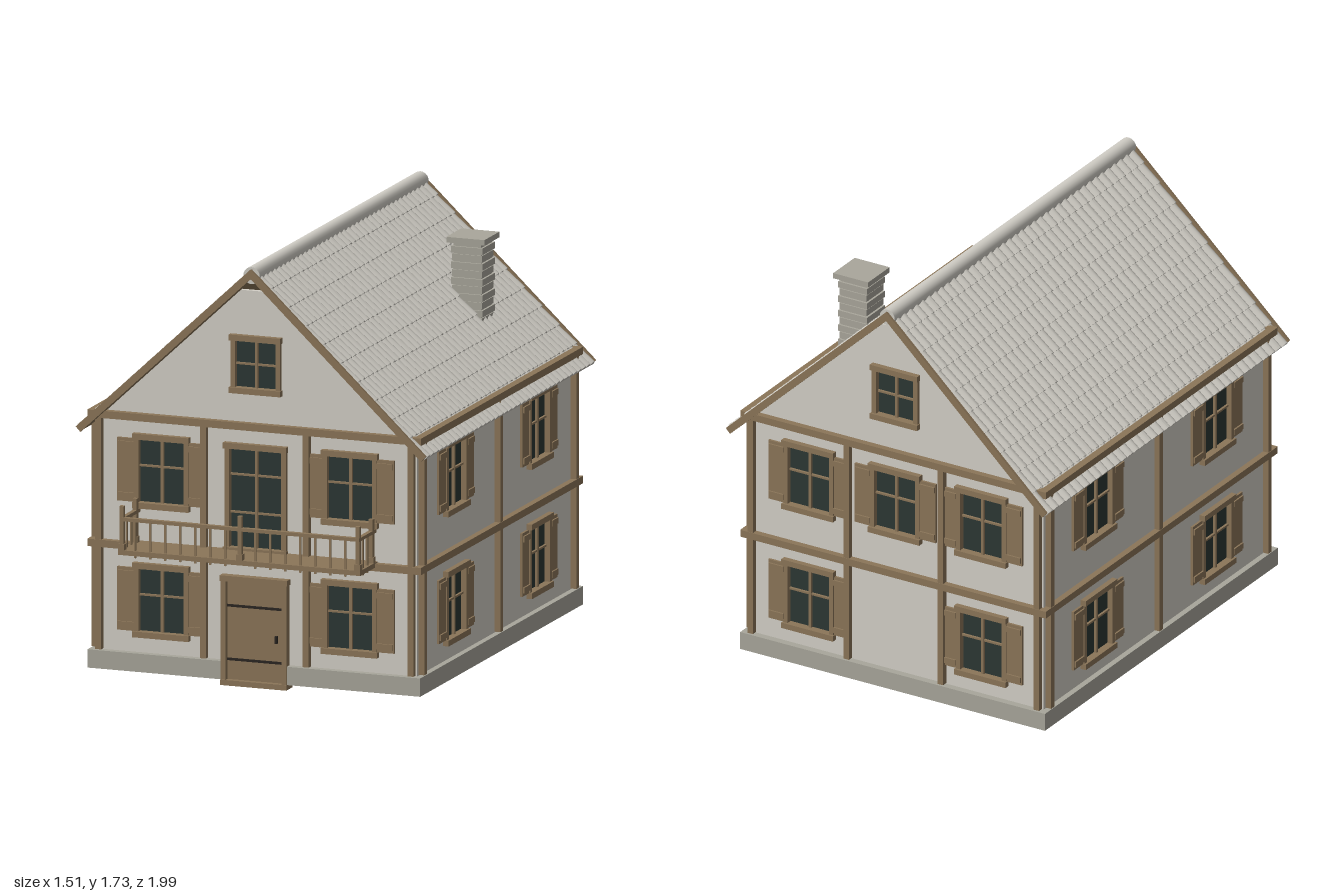
import * as THREE from 'three';
import { toCreasedNormals } from 'three/addons/utils/BufferGeometryUtils.js';

const mat = (name, color, side = THREE.FrontSide) => {
  const m = new THREE.MeshStandardMaterial({ color, side });
  m.name = name;
  return m;
};
const plaster = mat('plaster', 0xd4d0c7);
const wood = mat('timber', 0x8c7659);
const glass = mat('dark glass', 0x2c3734);
const stone = mat('plinth stone', 0xa9a79c);
const brick = mat('chimney stone', 0xaaa79c);
const tile = mat('roof tile', 0xcfccc4);
const iron = mat('iron', 0x2b2622);

const CZ = -0.06;          // middle of the house in z
const HX = 0.69, HZ = 0.86; // half sizes of the walls

function add(parent, name, geometry, material) {
  const m = new THREE.Mesh(geometry, material);
  m.name = name;
  parent.add(m);
  return m;
}

// Box given by its limits on each axis
function box(parent, name, material, x0, x1, y0, y1, z0, z1) {
  const m = add(parent, name, new THREE.BoxGeometry(x1 - x0, y1 - y0, z1 - z0), material);
  m.position.set((x0 + x1) / 2, (y0 + y1) / 2, (z0 + z1) / 2);
  return m;
}

function group(parent, name) {
  const g = new THREE.Group();
  g.name = name;
  parent.add(g);
  return g;
}

const polygon = (pts) => new THREE.Shape(pts.map(([x, y]) => new THREE.Vector2(x, y)));

// Wall plate with window holes; its outer face lies on local z = 0
function wall(parent, outline, openings) {
  const shape = polygon(outline);
  for (const { x, y, w, h } of openings) {
    shape.holes.push(new THREE.Path([[-1, -1], [-1, 1], [1, 1], [1, -1]].map(
      ([a, b]) => new THREE.Vector2(x + a * w, y + b * h))));
  }
  const geo = new THREE.ExtrudeGeometry(shape, { depth: 0.02, bevelEnabled: false });
  add(parent, 'wall', geo.translate(0, 0, -0.02), plaster);
  openings.forEach((o) => windowUnit(parent, o));
}

// Framed window (w and h are half sizes), optionally with shutters
function windowUnit(parent, { x, y, w, h, shutters, bars = [0.02] }) {
  const g = group(parent, 'window');
  g.position.set(x, y, 0);
  box(g, 'pane', glass, -w, w, -h, h, -0.019, -0.009);
  box(g, 'verticalBar', wood, -0.006, 0.006, -h, h, -0.012, 0.003);
  bars.forEach((b) => box(g, 'crossBar', wood, -w, w, b - 0.004, b + 0.004, -0.012, 0.001));
  for (const s of [-1, 1]) {
    const at = s * (w + 0.007);
    box(g, 'frameSide', wood, at - 0.01, at + 0.01, -h, h, -0.015, 0.015);
    const yy = s * (h + 0.011);
    box(g, s > 0 ? 'lintel' : 'sill', wood, -w - 0.021, w + 0.021, yy - 0.012, yy + 0.012, -0.015, 0.024);
    if (!shutters) continue;
    const c = s * 0.152;
    box(g, 'shutter', wood, c - 0.038, c + 0.038, -0.13, 0.13, 0, 0.01);
    for (const b of [-0.105, 0.105]) {
      box(g, 'shutterBatten', wood, c - 0.034, c + 0.034, b - 0.012, b + 0.012, 0.01, 0.017);
    }
  }
}

// Posts and beams on a wall of half width w
function timbers(parent, w, posts) {
  const g = group(parent, 'timberFrame');
  for (const x of posts) box(g, 'post', wood, x - 0.013, x + 0.013, 0.1, 1.06, 0, 0.025);
  for (const y of [0.535, 1.065]) box(g, 'beam', wood, -w - 0.025, w + 0.025, y - 0.015, y + 0.015, -0.005, 0.027);
}

const LOW = 0.314, HIGH = 0.844;
const shuttered = (x, y) => ({ x, y, w: 0.1, h: 0.13, shutters: true });
const gableWindow = { x: 0, y: 1.318, w: 0.09, h: 0.097, bars: [0] };
const gableOutline = [[-HX, 0.05], [HX, 0.05], [HX, 1.035], [0.07, 1.62], [-0.07, 1.62], [-HX, 1.035]];
const sideOutline = [[-HZ, 0.05], [HZ, 0.05], [HZ, 1.04], [-HZ, 1.04]];

function frontDoor(parent) {
  const g = group(parent, 'frontDoor');
  box(g, 'doorLeaf', wood, -0.122, 0.122, 0.02, 0.43, -0.024, 0.012);
  for (const s of [-1, 1]) box(g, 'doorPost', wood, s * 0.131 - 0.011, s * 0.131 + 0.011, 0.02, 0.43, 0, 0.032);
  box(g, 'doorLintel', wood, -0.145, 0.145, 0.427, 0.45, 0, 0.036);
  for (const y of [0.105, 0.325]) box(g, 'strap', iron, -0.12, 0.12, y - 0.005, y + 0.005, 0.012, 0.017);
  box(g, 'handle', iron, 0.086, 0.096, 0.185, 0.215, 0.012, 0.024);
  box(g, 'doorStep', wood, -0.142, 0.142, 0, 0.022, -0.03, 0.036);
}

// Plinth ring, open at the doorway and underneath
function plinth(parent) {
  const X = 0.715, Z = 0.89, x = 0.67, z = 0.84, d = 0.142;
  const shape = polygon([[d, -Z], [X, -Z], [X, Z], [-X, Z], [-X, -Z], [-d, -Z],
    [-d, -z], [-x, -z], [-x, z], [x, z], [x, -z], [d, -z]]);
  const geo = new THREE.ExtrudeGeometry(shape, { depth: 0.075, bevelEnabled: false });
  add(parent, 'plinth', geo.rotateX(-Math.PI / 2).translate(0, 0.022, CZ), stone);
}

function balcony(parent) {
  const g = group(parent, 'balcony');
  box(g, 'balconyFloor', wood, -0.52, 0.52, 0.535, 0.555, 0.8, 0.99);
  box(g, 'frontRail', wood, -0.515, 0.515, 0.674, 0.688, 0.968, 0.988);
  const post = (x, z) => {
    box(g, 'balconyPost', wood, x - 0.009, x + 0.009, 0.55, 0.735, z - 0.009, z + 0.009);
    box(g, 'postFoot', wood, x - 0.013, x + 0.013, 0.555, 0.58, z - 0.012, z + 0.012);
  };
  const baluster = (x, z) => box(g, 'baluster', wood, x - 0.004, x + 0.004, 0.525, 0.676, z - 0.004, z + 0.004);
  for (const x of [-0.507, 0, 0.507]) post(x, 0.978);
  for (let i = -7; i <= 7; i++) if (i) baluster(i * 0.0645, 0.978);
  for (const s of [-1, 1]) {
    const x = s * 0.507;
    post(x, 0.834);
    box(g, 'sideRail', wood, x - 0.009, x + 0.009, 0.674, 0.688, 0.8, 0.98);
    for (const z of [0.882, 0.93]) baluster(x, z);
  }
}

// One course of arched tiles: a scalloped section drawn out down the slope
function tileCourse(half, columns, length) {
  const pitch = (2 * half) / columns, steps = 6;
  const pts = [[-half, -0.008], [half, -0.008]];
  for (let i = columns * steps; i >= 0; i--) {
    pts.push([-half + (i * pitch) / steps, 0.014 * Math.sin(Math.PI * (i % steps) / steps)]);
  }
  const geo = new THREE.ExtrudeGeometry(polygon(pts), { depth: length, bevelEnabled: false });
  return toCreasedNormals(geo.rotateY(Math.PI / 2), 0.6);
}

function roof(parent) {
  const g = group(parent, 'roof');
  g.position.set(0, 1.72, -0.0675);
  const slope = Math.atan2(0.705, 0.75), half = 0.9325, rows = 10, step = 0.1025;
  const course = tileCourse(half - 0.012, 39, step + 0.004);
  for (const turn of [0, Math.PI]) {
    const side = group(g, 'roofSide');
    side.rotation.y = turn;
    const plane = group(side, 'roofPlane');
    plane.rotation.z = -slope;
    box(plane, 'roofDeck', wood, 0, 1.015, -0.027, -0.016, -half, half);
    for (const s of [-1, 1]) {
      const z = s * (half - 0.006);
      box(plane, 'bargeBoard', wood, 0, 1.03, -0.027, 0.002, z - 0.006, z + 0.006);
    }
    for (let r = 0; r < rows; r++) {
      const m = add(plane, 'tileCourse', course, tile);
      m.position.set(0.004 + r * step, -0.014, 0);
      m.rotation.z = 0.07;
    }
  }
  const cap = new THREE.CylinderGeometry(0.035, 0.035, 2 * half - 0.02, 20).rotateX(Math.PI / 2);
  add(g, 'ridgeCap', cap, tile).position.y = -0.025;
}

function chimney(parent) {
  const g = group(parent, 'chimney');
  g.position.set(0.41, 0, -0.52);
  box(g, 'chimneyCore', brick, -0.059, 0.059, 1.2, 1.59, -0.059, 0.059);
  for (let i = 0; i < 11; i++) {
    const y = 1.22 + i * 0.032, w = i % 2 ? 0.064 : 0.068;
    box(g, 'stoneCourse', brick, -w, w, y, y + 0.027, -w, w);
  }
  box(g, 'chimneyCap', brick, -0.082, 0.082, 1.583, 1.606, -0.082, 0.082);
}

export function createModel() {
  const house = new THREE.Group();
  house.name = 'house';
  const wallGroup = (name, x, z, turn) => {
    const g = group(house, name);
    g.position.set(x, 0, z);
    g.rotation.y = turn;
    return g;
  };
  const pairs = (d) => [-d, d].flatMap((x) => [shuttered(x, LOW), shuttered(x, HIGH)]);

  const front = wallGroup('frontWall', 0, CZ + HZ, 0);
  const balconyDoor = { x: 0, y: 0.767, w: 0.115, h: 0.203, bars: [0.095, -0.06] };
  wall(front, gableOutline, [...pairs(0.405), gableWindow, balconyDoor]);
  frontDoor(front);

  const back = wallGroup('backWall', 0, CZ - HZ, Math.PI);
  wall(back, gableOutline, [...pairs(0.405), gableWindow, shuttered(0, HIGH)]);
  for (const g of [front, back]) timbers(g, HX, [-0.671, -0.221, 0.221, 0.671]);

  for (const s of [-1, 1]) {
    const side = wallGroup(s > 0 ? 'leftWall' : 'rightWall', s * HX, CZ, s * Math.PI / 2);
    wall(side, sideOutline, pairs(0.455));
    timbers(side, HZ, [-0.83, 0, 0.83]);
  }
  plinth(house);
  balcony(house);
  roof(house);
  chimney(house);
  return house;
}
